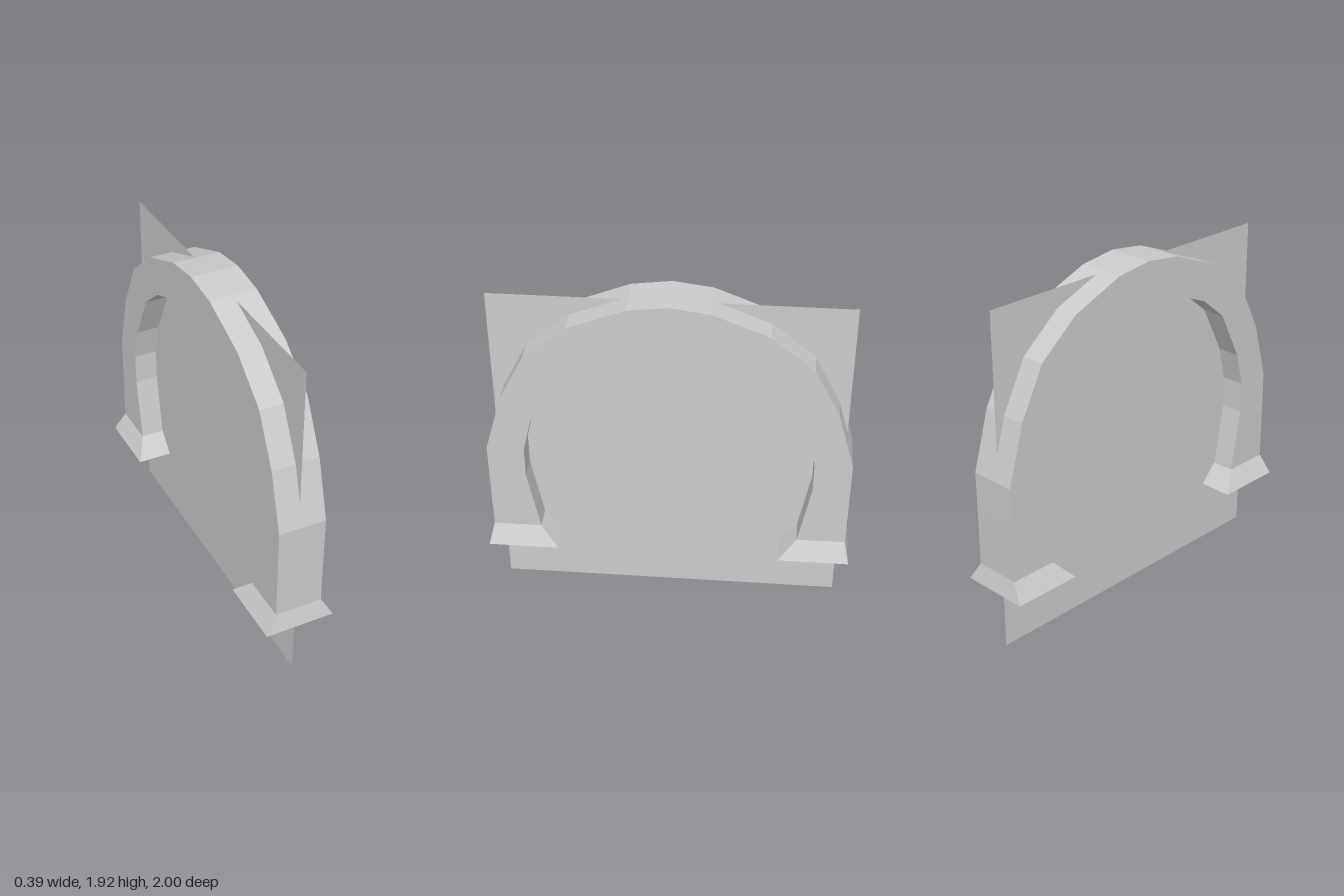
import * as THREE from 'three';

// Half of the arch from foot to crown: [outer z, outer y, inner z, inner y, half width]
const HALF = [
  [1.0, 0.36, 0.612, 0.36, 0.193],
  [0.975, 0.465, 0.711, 0.465, 0.13],
  [0.976, 0.818, 0.775, 0.818, 0.13],
  [0.976, 0.995, 0.775, 0.995, 0.13],
  [0.882, 1.32, 0.727, 1.187, 0.13],
  [0.743, 1.588, 0.588, 1.46, 0.13],
  [0.513, 1.775, 0.433, 1.588, 0.13],
  [0.211, 1.893, 0.171, 1.695, 0.13],
  [0, 1.92, 0, 1.717, 0.13],
];

// Sweeps a four-cornered section along the stations and caps both ends
function sweep(stations) {
  const positions = [];
  const index = [];
  for (const [oz, oy, iz, iy, w] of stations) {
    positions.push(w, oy, oz, -w, oy, oz, -w, iy, iz, w, iy, iz);
  }
  const last = (stations.length - 1) * 4;
  for (let s = 0; s < last; s += 4) {
    for (let k = 0; k < 4; k++) {
      const a = s + k;
      const b = s + ((k + 1) % 4);
      index.push(a, a + 4, b, b, a + 4, b + 4);
    }
  }
  index.push(0, 1, 2, 0, 2, 3);
  index.push(last, last + 2, last + 1, last, last + 3, last + 2);

  const geometry = new THREE.BufferGeometry();
  geometry.setAttribute('position', new THREE.Float32BufferAttribute(positions, 3));
  geometry.setIndex(index);
  const flat = geometry.toNonIndexed();
  flat.computeVertexNormals();
  return flat;
}

export function createModel() {
  const group = new THREE.Group();
  group.name = 'archway';

  // Arch with flared feet, mirrored about the crown
  const mirrored = HALF.slice(0, -1).reverse().map(([oz, oy, iz, iy, w]) => [-oz, oy, -iz, iy, w]);
  const arch = new THREE.Mesh(
    sweep([...HALF, ...mirrored]),
    new THREE.MeshStandardMaterial({ color: 0xcccccc, flatShading: true })
  );
  arch.name = 'arch';
  group.add(arch);

  // Thin square panel filling the opening
  const panel = new THREE.Mesh(
    new THREE.PlaneGeometry(1.88, 1.88),
    new THREE.MeshStandardMaterial({ color: 0xcccccc, side: THREE.DoubleSide })
  );
  panel.name = 'panel';
  panel.rotation.y = Math.PI / 2;
  panel.position.y = 0.94;
  group.add(panel);

  return group;
}
